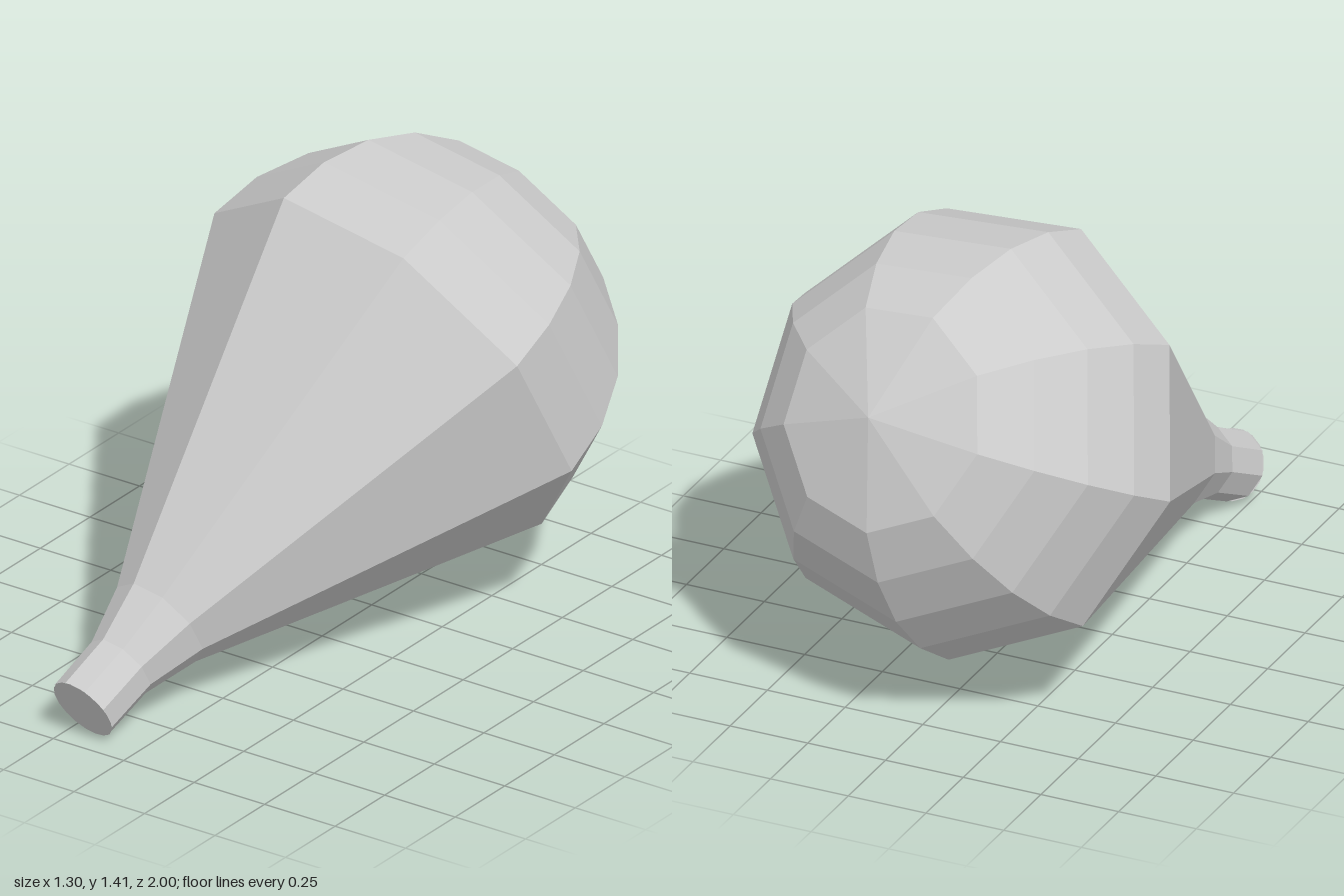
import * as THREE from 'three';

const SIDES = 9;
const BULB_RADIUS = 0.667;
const BULB_START = 1.46; // distance along the axis from mouth to widest ring

export function createModel() {
  const model = new THREE.Group();
  model.name = 'tiltedBulb';

  const material = new THREE.MeshStandardMaterial({ color: 0xcccccc, flatShading: true });
  const capMaterial = new THREE.MeshStandardMaterial({
    color: 0xcccccc, flatShading: true, side: THREE.DoubleSide,
  });

  // Profile: straight collar, flared cone, then a domed end in 15 degree bands
  const profile = [
    new THREE.Vector2(0.108, 0),
    new THREE.Vector2(0.11, 0.18),
    new THREE.Vector2(0.16, 0.363),
  ];
  for (const degrees of [0, 15, 30, 45, 60, 90]) {
    const a = THREE.MathUtils.degToRad(degrees);
    const r = degrees === 90 ? 0 : BULB_RADIUS * Math.cos(a);
    profile.push(new THREE.Vector2(r, BULB_START + BULB_RADIUS * Math.sin(a)));
  }
  const body = new THREE.Mesh(new THREE.LatheGeometry(profile, SIDES), material);
  body.name = 'body';

  // Flat disc closing the narrow end
  const cap = new THREE.Mesh(new THREE.CircleGeometry(0.107, SIDES * 2), capMaterial);
  cap.name = 'neckCap';
  cap.rotation.x = Math.PI / 2;

  // Lean the axis up and back, with one facet edge turned to the top
  const axis = new THREE.Vector3(0.128, 0.455, -0.881).normalize();
  const edge = new THREE.Vector3(-0.187, 0.575, 0.272);
  edge.addScaledVector(axis, -edge.dot(axis)).normalize();
  const sideways = new THREE.Vector3().crossVectors(axis, edge);

  const tilted = new THREE.Group();
  tilted.name = 'bulb';
  tilted.add(body, cap);
  tilted.quaternion.setFromRotationMatrix(new THREE.Matrix4().makeBasis(sideways, axis, edge));
  tilted.position.set(-0.18, 0.1, 0.95);
  model.add(tilted);

  return model;
}
